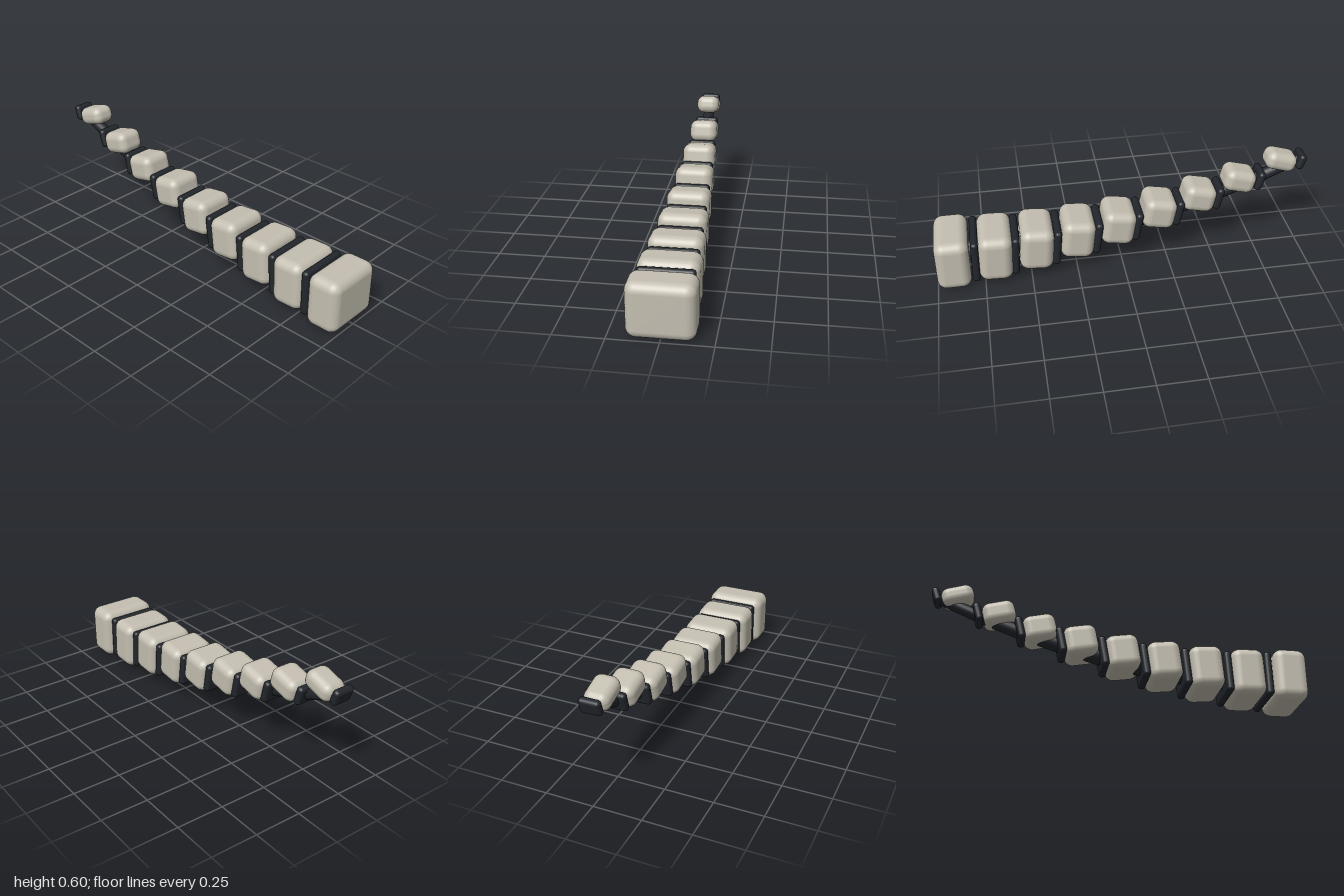
import * as THREE from 'three';
import { RoundedBoxGeometry } from 'three/addons/geometries/RoundedBoxGeometry.js';

const COUNT = 9;
// Centres [x, y] from the thick root (+x) to the thin tip (-x)
const BLOCKS = [[0.91, 0.143], [0.685, 0.149], [0.465, 0.171], [0.243, 0.2], [0.022, 0.241],
  [-0.2, 0.299], [-0.418, 0.364], [-0.637, 0.444], [-0.86, 0.537]];
const PLATES = [[0.793, 0.145], [0.58, 0.15], [0.357, 0.168], [0.137, 0.198], [-0.08, 0.239],
  [-0.304, 0.294], [-0.523, 0.356], [-0.748, 0.436], [-0.97, 0.527]];

export function createModel() {
  const group = new THREE.Group();
  group.name = 'segmentedTail';
  const shell = new THREE.MeshStandardMaterial({ color: 0xc4bfb1 });
  const dark = new THREE.MeshStandardMaterial({ color: 0x22262c });
  const mix = THREE.MathUtils.lerp;

  function roundedBox(name, size, radius, [x, y], angle, material) {
    const mesh = new THREE.Mesh(new RoundedBoxGeometry(...size, 5, radius), material);
    mesh.name = name;
    mesh.position.set(x, y, 0);
    mesh.rotation.z = angle;
    group.add(mesh);
  }

  // Tapered rod between two points in the z = 0 plane
  function rod(name, a, b, ra, rb) {
    const start = new THREE.Vector3(...a, 0), end = new THREE.Vector3(...b, 0);
    const dir = end.clone().sub(start);
    const mesh = new THREE.Mesh(new THREE.CylinderGeometry(rb, ra, dir.length(), 20), dark);
    mesh.name = name;
    mesh.position.copy(start).add(end).multiplyScalar(0.5);
    mesh.quaternion.setFromUnitVectors(new THREE.Vector3(0, 1, 0), dir.normalize());
    group.add(mesh);
  }

  for (let i = 0; i < COUNT; i++) {
    const t = i / (COUNT - 1);
    const angle = THREE.MathUtils.degToRad(17 * t);

    // Shell block, shrinking and tilting towards the tip
    roundedBox('shellBlock' + (i + 1), [mix(0.18, 0.172, t), mix(0.286, 0.1, t), mix(0.33, 0.13, t)],
      mix(0.05, 0.042, t), BLOCKS[i], angle, shell);

    // Thin joint plate behind each block
    roundedBox('jointPlate' + (i + 1), [0.04, mix(0.245, 0.085, t), mix(0.28, 0.11, t)],
      0.018, PLATES[i], angle + 0.02, dark);

    // Spine link running from joint to joint
    const radius = (k) => mix(0.07, 0.028, k / (COUNT - 1));
    rod('spineLink' + (i + 1), i ? PLATES[i - 1] : BLOCKS[0], PLATES[i], radius(Math.max(i - 1, 0)), radius(i));
  }
  return group;
}
